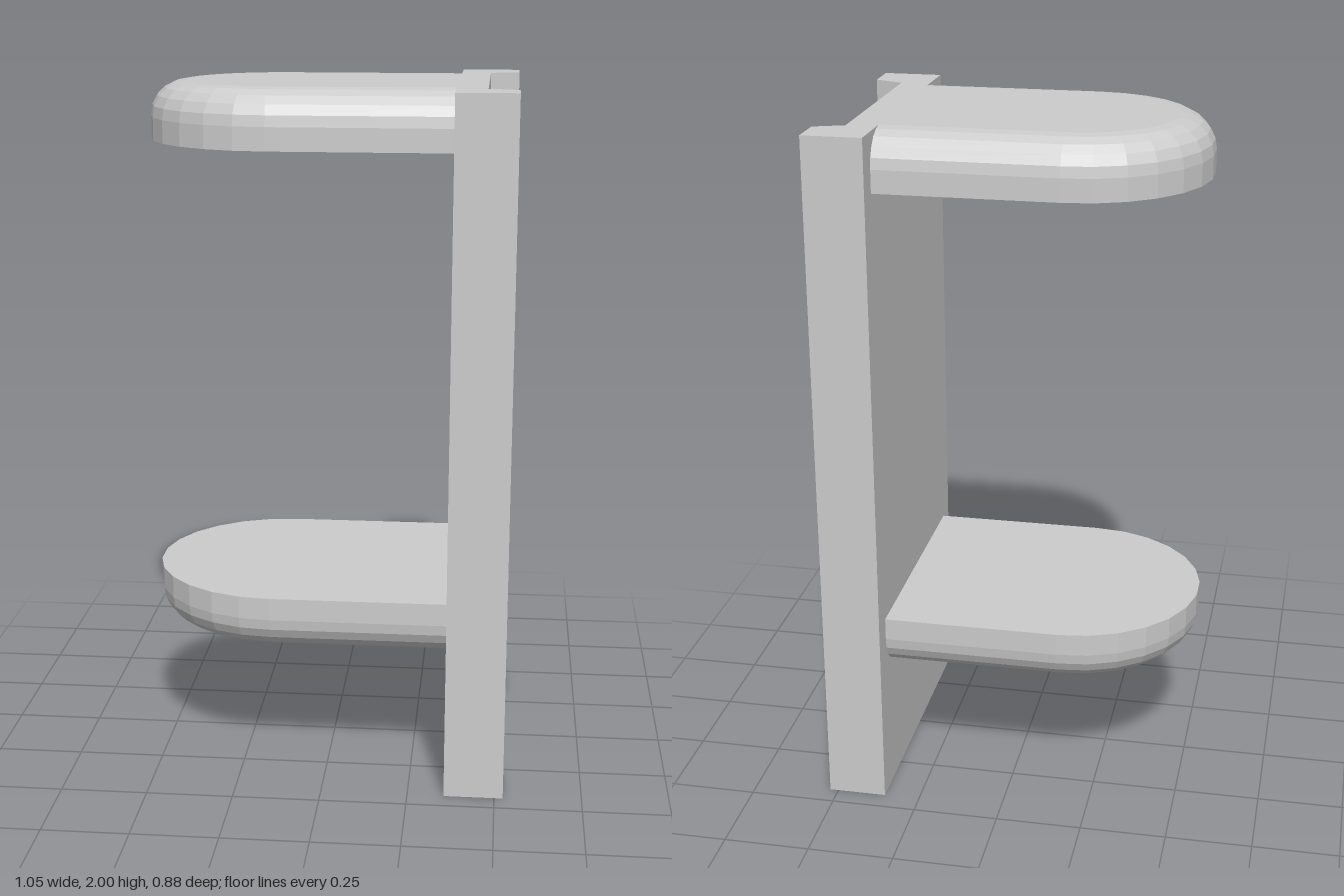
import * as THREE from 'three';

const material = new THREE.MeshStandardMaterial({ color: 0xcccccc, flatShading: true });

const PANEL_X = 0.355;   // inner face of the upright panel
const HEIGHT = 0.165;    // shelf thickness
const ARC_SEGMENTS = 13;
const FILLET = 0.1;
const FILLET_STEPS = 5;

// Outline of a shelf (straight sides and a round nose), shrunk by an inset
function shelfRing(inset, y) {
  const r = 0.373 - inset, cx = -0.155;
  const ring = [[PANEL_X, y, r]];
  for (let i = 0; i <= ARC_SEGMENTS; i++) {
    const a = (i / ARC_SEGMENTS) * Math.PI;
    ring.push([cx - r * Math.sin(a), y, r * Math.cos(a)]);
  }
  ring.push([PANEL_X, y, -r]);
  return ring;
}

// Shelf with a sharp lower rim and a rounded upper rim, centred on y = 0
function shelfGeometry() {
  const rings = [shelfRing(0, -HEIGHT / 2)];
  for (let k = 0; k <= FILLET_STEPS; k++) {
    const a = (k / FILLET_STEPS) * Math.PI / 2;
    rings.push(shelfRing(FILLET * (1 - Math.cos(a)), HEIGHT / 2 - FILLET * (1 - Math.sin(a))));
  }
  const n = rings[0].length, index = [];
  const top = (rings.length - 1) * n;
  for (let k = 0; k < rings.length - 1; k++) {
    for (let i = 0; i < n - 1; i++) {
      const a = k * n + i, b = a + n;
      index.push(a + 1, a, b, a + 1, b, b + 1);
    }
  }
  // Flat faces below and above
  for (let i = 1; i < n - 1; i++) {
    index.push(0, i, i + 1, top, top + i + 1, top + i);
  }
  const geometry = new THREE.BufferGeometry();
  geometry.setAttribute('position', new THREE.Float32BufferAttribute(rings.flat(2), 3));
  geometry.setIndex(index);
  const flat = geometry.toNonIndexed();
  flat.computeVertexNormals();
  return flat;
}

// Upright panel with a tapered channel along its outer face
function panelGeometry() {
  const half = [[PANEL_X, 0.44], [0.525, 0.44], [0.525, 0.332], [0.44, 0.3]];
  const mirrored = half.map(([x, z]) => [x, -z]).reverse();
  const shape = new THREE.Shape([...half, ...mirrored].map(([x, z]) => new THREE.Vector2(x, z)));
  return new THREE.ExtrudeGeometry(shape, { depth: 2, bevelEnabled: false }).rotateX(-Math.PI / 2);
}

export function createModel() {
  const group = new THREE.Group();
  const add = (name, geometry, y = 0) => {
    const mesh = new THREE.Mesh(geometry, material);
    mesh.name = name;
    mesh.position.y = y;
    group.add(mesh);
    return mesh;
  };

  add('channelPanel', panelGeometry());

  // The lower shelf is the upper one turned over
  const shelf = shelfGeometry();
  add('upperShelf', shelf, 2 - HEIGHT / 2);
  add('lowerShelf', shelf, 0.395 + HEIGHT / 2).rotation.x = Math.PI;

  return group;
}
